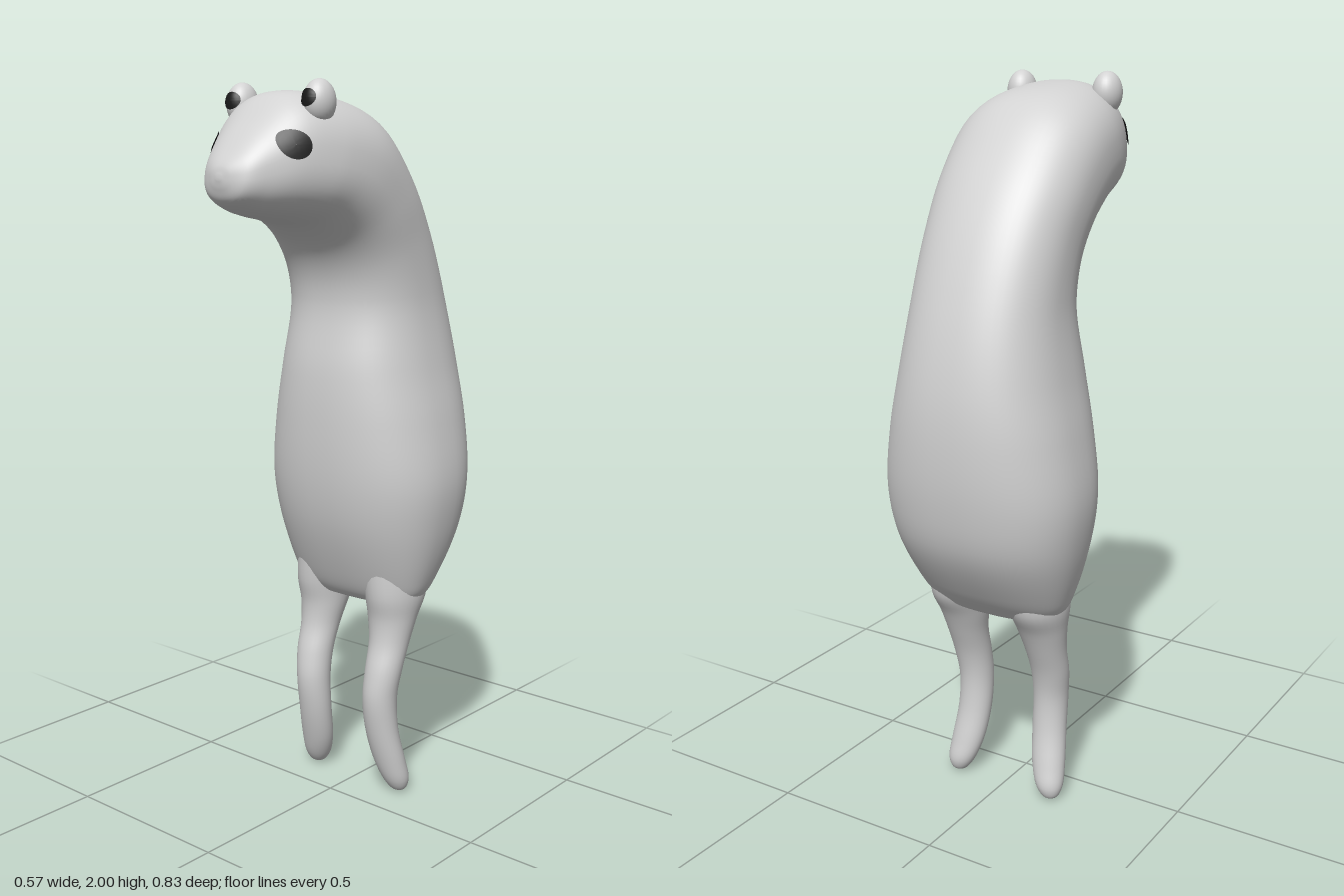
import * as THREE from 'three';

const fur = new THREE.MeshStandardMaterial({ color: 0xd2d2d2 });
fur.name = 'pale fur';
const dark = new THREE.MeshStandardMaterial({ color: 0x1a1a1a, side: THREE.DoubleSide });
dark.name = 'dark markings';

// Smooth skin over rings, each [front z, front y, back z, back y, half width, centre x]
function loft(rows, power, steps, sides) {
  const front = new THREE.CatmullRomCurve3(rows.map(r => new THREE.Vector3(r[0], r[1], r[4])));
  const back = new THREE.CatmullRomCurve3(rows.map(r => new THREE.Vector3(r[2], r[3], r[5] || 0)));
  const round = v => Math.sign(v) * Math.abs(v) ** (2 / power);
  const pos = [], index = [];
  for (let i = 0; i <= steps; i++) {
    const f = front.getPoint(i / steps), b = back.getPoint(i / steps);
    for (let j = 0; j < sides; j++) {
      const a = (j / sides) * Math.PI * 2, c = round(Math.cos(a)), s = round(Math.sin(a));
      pos.push(b.z + f.z * s,
        (f.y + b.y) / 2 + ((f.y - b.y) / 2) * c,
        (f.x + b.x) / 2 + ((f.x - b.x) / 2) * c);
    }
  }
  for (let i = 0; i < steps; i++) for (let j = 0; j < sides; j++) {
    const k = (j + 1) % sides, p = i * sides, q = p + sides;
    index.push(p + j, p + k, q + k, p + j, q + k, q + j);
  }
  // Close both ends
  for (const end of [0, steps]) {
    const r = rows[end ? rows.length - 1 : 0], centre = pos.length / 3, p = end * sides;
    pos.push(r[5] || 0, (r[1] + r[3]) / 2, (r[0] + r[2]) / 2);
    for (let j = 0; j < sides; j++) {
      const k = (j + 1) % sides;
      index.push(centre, p + (end ? j : k), p + (end ? k : j));
    }
  }
  const g = new THREE.BufferGeometry();
  g.setAttribute('position', new THREE.Float32BufferAttribute(pos, 3));
  g.setIndex(index);
  g.computeVertexNormals();
  return g;
}

// Lays a flat geometry on the surfaces it meets when moved along a direction
function drape(geometry, direction, targets) {
  const ray = new THREE.Raycaster(), p = geometry.attributes.position;
  const v = new THREE.Vector3();
  for (let i = 0; i < p.count; i++) {
    v.fromBufferAttribute(p, i);
    ray.set(v, direction);
    const hit = ray.intersectObjects(targets)[0];
    if (hit) v.copy(hit.point).addScaledVector(direction, -0.005);
    p.setXYZ(i, v.x, v.y, v.z);
  }
  geometry.computeVertexNormals();
  return geometry;
}

export function createModel() {
  const model = new THREE.Group();
  model.name = 'animal';
  const add = (name, geometry, material) => {
    const m = new THREE.Mesh(geometry, material);
    m.name = name;
    model.add(m);
    return m;
  };

  // Body, neck and head in one bent skin, from the crotch to the nose
  const body = add('bodyAndHead', loft([
    [-0.12, 0.575, -0.16, 0.575, 0.04],
    [-0.075, 0.575, -0.21, 0.57, 0.17],
    [-0.05, 0.6, -0.245, 0.6, 0.208],
    [-0.02, 0.66, -0.29, 0.655, 0.235],
    [0.03, 0.8, -0.37, 0.79, 0.273],
    [0.055, 0.93, -0.404, 0.93, 0.287],
    [0.065, 1.1, -0.415, 1.1, 0.265],
    [0.06, 1.25, -0.403, 1.25, 0.235],
    [0.036, 1.42, -0.36, 1.43, 0.209],
    [0.05, 1.51, -0.28, 1.63, 0.206],
    [0.09, 1.58, -0.18, 1.79, 0.212],
    [0.16, 1.63, -0.05, 1.925, 0.212],
    [0.22, 1.648, 0.1, 1.97, 0.195],
    [0.29, 1.66, 0.23, 1.968, 0.159],
    [0.35, 1.675, 0.325, 1.89, 0.115],
    [0.4, 1.7, 0.385, 1.825, 0.075],
    [0.415, 1.73, 0.412, 1.79, 0.035],
    [0.42, 1.755, 0.419, 1.768, 0.008],
  ], 2.35, 102, 64), fur);

  for (const [side, s] of [['left', 1], ['right', -1]]) {
    // Leg rings, each [y, x, z, half width, half depth]
    const rings = [
      [0, 0.156, -0.125, 0.006, 0.005], [0.01, 0.155, -0.124, 0.024, 0.021],
      [0.04, 0.15, -0.119, 0.04, 0.036], [0.1, 0.138, -0.103, 0.049, 0.042],
      [0.2, 0.127, -0.08, 0.05, 0.045], [0.3, 0.126, -0.071, 0.05, 0.05],
      [0.38, 0.13, -0.083, 0.054, 0.053], [0.46, 0.13, -0.108, 0.059, 0.058],
      [0.53, 0.128, -0.125, 0.07, 0.073], [0.6, 0.128, -0.138, 0.08, 0.1],
      [0.7, 0.12, -0.14, 0.08, 0.11],
    ].map(([y, x, z, w, d]) => [z + d, y, z - d, y, w, s * x]);
    add(side + 'Leg', loft(rings, 2, 50, 28), fur);

    // Low rounded ear
    const earShape = new THREE.SphereGeometry(1, 28, 20);
    earShape.scale(0.04, 0.056, 0.045).translate(s * 0.132, 1.944, 0.195);
    const ear = add(side + 'Ear', earShape, fur);
    model.updateMatrixWorld(true);

    // Eye on the side of the head
    const eye = new THREE.RingGeometry(0.0005, 0.036, 28, 5);
    eye.rotateY(Math.PI / 2).translate(s, 1.84, 0.292);
    add(side + 'Eye', drape(eye, new THREE.Vector3(-s, 0, 0), [body]), dark);

    // Dark hollow on the front of the ear
    const hollow = new THREE.RingGeometry(0.0005, 0.026, 24, 5);
    hollow.scale(1, 0.85, 1).translate(s * 0.13, 1.953, 1);
    add(side + 'EarHollow', drape(hollow, new THREE.Vector3(0, 0, -1), [body, ear]), dark);
  }
  return model;
}
